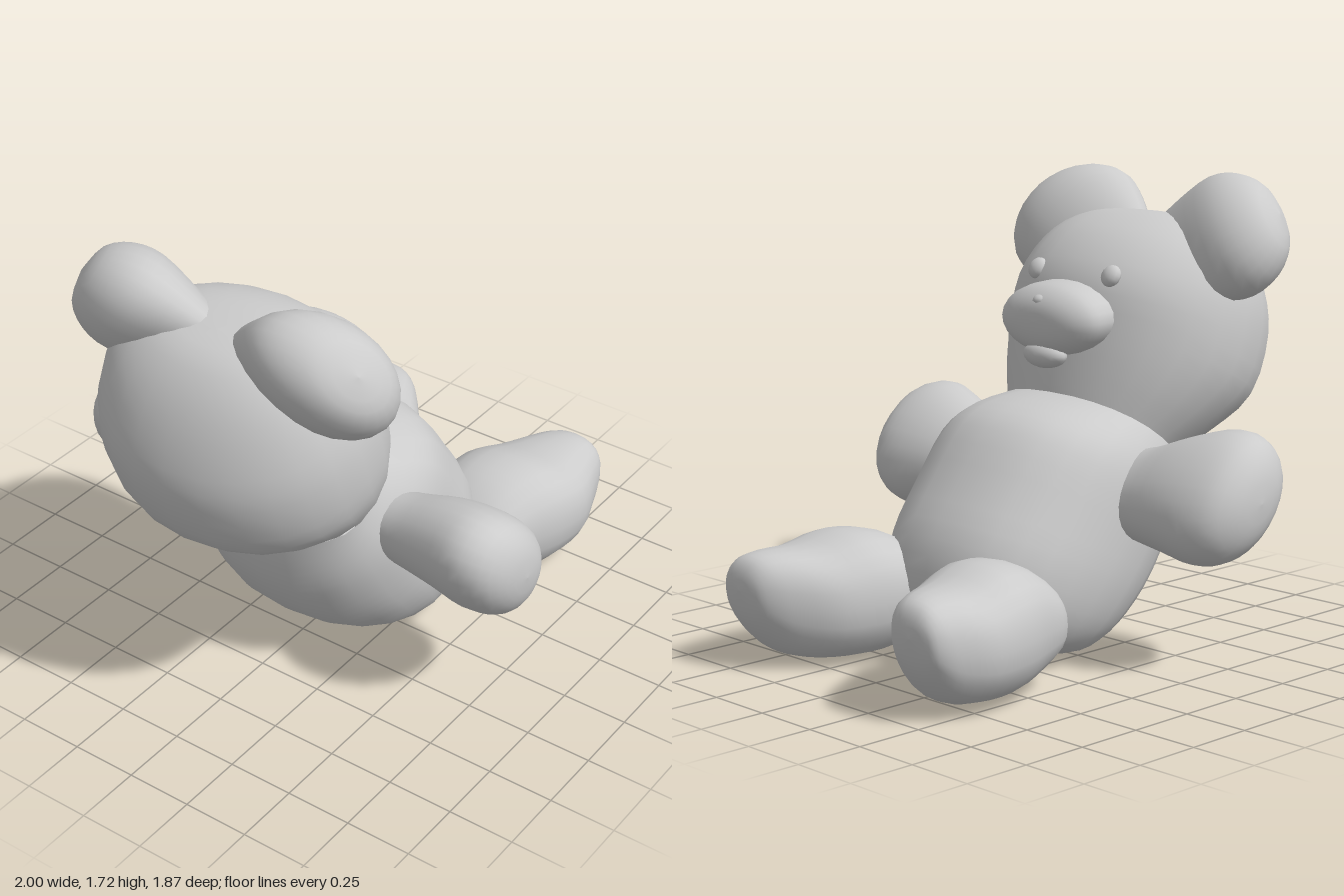
import * as THREE from 'three';

const material = new THREE.MeshStandardMaterial({ color: 0xcccccc, side: THREE.DoubleSide });
const SIDES = 24;

// Skin of rounded rings; each ring is a centre c and two half axes u, v
function loft(name, rings, roundness = 2, steps = 3) {
  const curves = ['c', 'u', 'v'].map((k) => rings.map((r) => r[k]));
  const sample = (list, t) => {
    const f = Math.min(t, list.length - 1), i = Math.min(Math.floor(f), list.length - 2), s = f - i;
    const at = (n) => list[Math.max(0, Math.min(list.length - 1, n))];
    const [a, b, c, d] = [at(i - 1), at(i), at(i + 1), at(i + 2)];
    const mix = (k) => THREE.MathUtils.lerp(b[k], c[k], s)
      + 0.5 * s * (1 - s) * ((1 - s) * (2 * b[k] - a[k] - c[k]) + s * (2 * c[k] - b[k] - d[k]));
    return new THREE.Vector3(mix('x'), mix('y'), mix('z'));
  };
  const power = (x) => Math.sign(x) * Math.abs(x) ** (2 / roundness);
  const rows = (rings.length - 1) * steps, positions = [], index = [];
  for (let i = 0; i <= rows; i++) {
    const [c, u, v] = curves.map((list) => sample(list, i / steps));
    for (let j = 0; j < SIDES; j++) {
      const a = (j / SIDES) * Math.PI * 2;
      const p = c.clone().addScaledVector(u, power(Math.cos(a))).addScaledVector(v, power(Math.sin(a)));
      positions.push(p.x, p.y, p.z);
    }
  }
  // Winding follows the direction the rings advance in
  const along = rings[2].c.clone().sub(rings[0].c);
  const forward = rings[1].u.clone().cross(rings[1].v).dot(along) > 0;
  for (let i = 0; i < rows; i++) {
    for (let j = 0; j < SIDES; j++) {
      const a = i * SIDES + j, b = i * SIDES + (j + 1) % SIDES, c = b + SIDES, d = a + SIDES;
      if (forward) index.push(a, b, c, a, c, d);
      else index.push(a, c, b, a, d, c);
    }
  }
  const geometry = new THREE.BufferGeometry();
  geometry.setAttribute('position', new THREE.Float32BufferAttribute(positions, 3));
  geometry.setIndex(index);
  geometry.computeVertexNormals();
  const mesh = new THREE.Mesh(geometry, material);
  mesh.name = name;
  return mesh;
}

// Ring between a front/top point and a back/bottom point, with half width w at depth z
const span = ([px, py, qx, qy, w, z = 0]) => ({
  c: new THREE.Vector3((px + qx) / 2, (py + qy) / 2, z),
  u: new THREE.Vector3((px - qx) / 2, (py - qy) / 2, 0),
  v: new THREE.Vector3(0, 0, w),
});

// Sideways ring for the arms: a is the long half axis, b the short one, both on the diagonal
const disc = ([x, y, z, a, b]) => ({
  c: new THREE.Vector3(x, y, z),
  u: new THREE.Vector3(-0.7, 0.71, 0).multiplyScalar(a),
  v: new THREE.Vector3(0.71, 0.7, 0).multiplyScalar(b),
});

// Ear ring at distance t along the outward axis, with half width w and half thickness n
const earRing = ([t, w, n], s) => ({
  c: new THREE.Vector3(-0.635, 1.475, s * 0.35).addScaledVector(new THREE.Vector3(-0.27, 0.42, s * 0.86), t),
  u: new THREE.Vector3(0.46, -0.65, s * 0.6).multiplyScalar(w),
  v: new THREE.Vector3(0.81, 0.58, 0).multiplyScalar(n),
});

function ellipsoid(name, center, radii, segments = 20) {
  const mesh = new THREE.Mesh(new THREE.SphereGeometry(1, segments, segments / 2 + 2), material);
  mesh.name = name;
  mesh.position.set(...center);
  mesh.scale.set(...radii);
  return mesh;
}

export function createModel() {
  const bear = new THREE.Group();
  bear.name = 'teddyBear';

  // Reclining torso, from the neck to the seat
  bear.add(loft('body', [
    [-0.10, 0.935, -0.53, 0.63, 0.37],
    [0.08, 0.91, -0.52, 0.50, 0.42],
    [0.22, 0.84, -0.49, 0.38, 0.445],
    [0.36, 0.66, -0.42, 0.25, 0.45],
    [0.48, 0.48, -0.32, 0.14, 0.445],
    [0.515, 0.30, -0.20, 0.05, 0.41],
    [0.45, 0.14, -0.09, 0.01, 0.33],
    [0.30, 0.06, 0.05, 0.01, 0.18],
    [0.19, 0.03, 0.19, 0.03, 0],
  ].map(span), 2.3));

  // Head, from the neck to the crown
  bear.add(loft('head', [
    [-0.10, 0.935, -0.53, 0.63, 0.37],
    [-0.12, 1.05, -0.72, 0.72, 0.45],
    [-0.15, 1.20, -0.91, 0.83, 0.51],
    [-0.20, 1.37, -1.00, 1.04, 0.515],
    [-0.32, 1.50, -0.985, 1.22, 0.47],
    [-0.46, 1.565, -0.92, 1.39, 0.38],
    [-0.58, 1.575, -0.82, 1.51, 0.22],
    [-0.70, 1.555, -0.70, 1.555, 0],
  ].map(span), 2.1));

  // Muzzle, nose and mouth
  bear.add(loft('muzzle', [
    [-0.25, 1.33, -0.25, 1.08, 0.22],
    [-0.18, 1.342, -0.16, 1.07, 0.24],
    [-0.10, 1.33, -0.09, 1.075, 0.235],
    [-0.05, 1.295, -0.045, 1.105, 0.18],
    [-0.025, 1.25, -0.025, 1.15, 0.10],
    [-0.02, 1.20, -0.02, 1.20, 0],
  ].map(span)));
  bear.add(ellipsoid('nose', [-0.07, 1.275, 0], [0.04, 0.025, 0.04], 12));
  bear.add(ellipsoid('mouth', [-0.08, 1.075, 0], [0.055, 0.05, 0.1], 16));

  for (const [side, s] of [['left', 1], ['right', -1]]) {
    // Eye
    const eye = ellipsoid(`${side}Eye`, [-0.23, 1.365, s * 0.187], [0.028, 0.042, 0.042], 12);
    eye.rotation.z = 0.5;
    bear.add(eye);

    // Ear: a plump lobe that narrows toward the head
    bear.add(loft(`${side}Ear`, [
      [-0.25, 0.20, 0.09],
      [-0.10, 0.25, 0.14],
      [0.05, 0.275, 0.18],
      [0.16, 0.235, 0.165],
      [0.24, 0.14, 0.105],
      [0.265, 0, 0],
    ].map((ring) => earRing(ring, s))));

    // Arm, swelling from the shoulder to a rounded, flattened paw
    bear.add(loft(`${side}Arm`, [
      [-0.17, 0.61, 0.28, 0.15, 0.12],
      [-0.17, 0.61, 0.43, 0.18, 0.135],
      [-0.18, 0.63, 0.60, 0.23, 0.165],
      [-0.197, 0.637, 0.75, 0.265, 0.182],
      [-0.20, 0.64, 0.86, 0.225, 0.16],
      [-0.20, 0.64, 0.92, 0.12, 0.09],
      [-0.20, 0.64, 0.935, 0, 0],
    ].map(([x, y, z, a, b]) => disc([x, y, s * z, a, b])), 2.1));

    // Leg, splayed outward, with a blunt hip and an upturned foot
    bear.add(loft(`${side}Leg`, [
      [0.27, 0.21, 0.27, 0.21, 0, 0.37],
      [0.285, 0.30, 0.285, 0.13, 0.10, 0.36],
      [0.33, 0.375, 0.33, 0.085, 0.185, 0.335],
      [0.45, 0.45, 0.45, 0.035, 0.235, 0.335],
      [0.60, 0.472, 0.58, 0.015, 0.26, 0.36],
      [0.75, 0.435, 0.74, 0.025, 0.24, 0.39],
      [0.89, 0.43, 0.85, 0.055, 0.175, 0.42],
      [0.96, 0.41, 0.93, 0.13, 0.13, 0.44],
      [0.99, 0.36, 0.975, 0.21, 0.085, 0.45],
      [0.995, 0.30, 0.995, 0.30, 0, 0.45],
    ].map(([px, py, qx, qy, w, z]) => span([px, py, qx, qy, w, s * z])), 2.3));
  }

  return bear;
}
